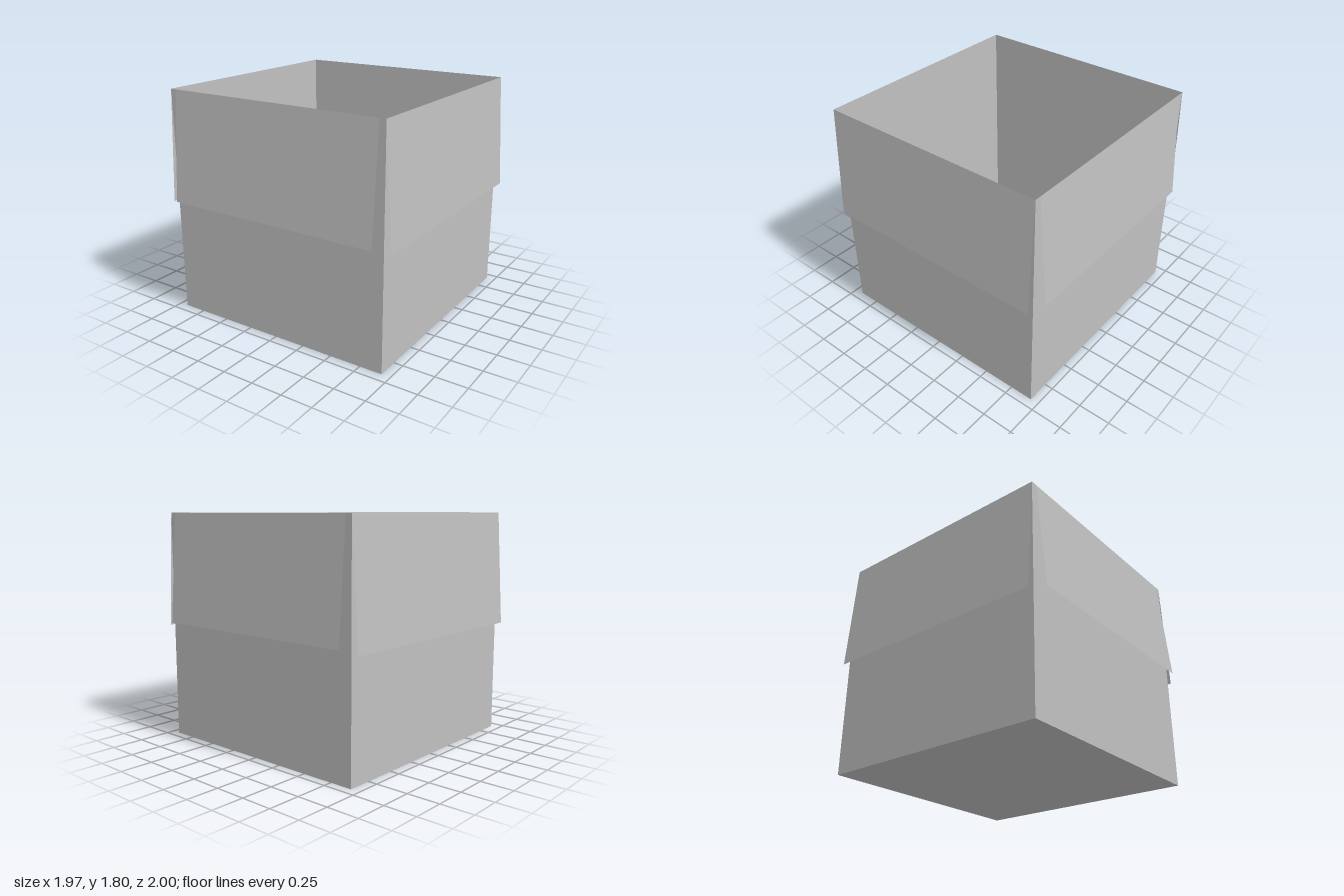
import * as THREE from 'three';

const W = 0.93, FRONT = 0.925, BACK = -0.935, H = 1.8;

// Flat four-cornered sheet, corners counter-clockwise seen from outside
function sheet(name, corners, material) {
  const geometry = new THREE.BufferGeometry();
  geometry.setAttribute('position', new THREE.Float32BufferAttribute(corners.flat(), 3));
  geometry.setIndex([0, 1, 2, 0, 2, 3]);
  geometry.computeVertexNormals();
  const mesh = new THREE.Mesh(geometry, material);
  mesh.name = name;
  return mesh;
}

export function createModel() {
  const box = new THREE.Group();
  box.name = 'openBox';
  const card = new THREE.MeshStandardMaterial({ color: 0xc0c0c0, side: THREE.DoubleSide });
  card.name = 'grey card';
  const add = (name, corners) => box.add(sheet(name, corners, card));

  // Floor
  add('floor', [[-W, 0, BACK], [W, 0, BACK], [W, 0, FRONT], [-W, 0, FRONT]]);

  // Front and back: wall plus a slightly narrower flap folded down outside
  for (const s of [1, -1]) {
    const side = s > 0 ? 'front' : 'back';
    const z = s > 0 ? FRONT : BACK;
    const x = s * W, f = s * 0.88;
    add(side + 'Wall', [[-x, 0, z], [x, 0, z], [x, H, z], [-x, H, z]]);
    add(side + 'Flap', [[-f, 0.935, s], [f, 0.935, s], [f, H, z], [-f, H, z]]);
  }

  // Left and right: wall plus a full-width flap
  for (const s of [1, -1]) {
    const side = s > 0 ? 'left' : 'right';
    const x = s * W, out = s * 0.987;
    const near = s > 0 ? FRONT : BACK, far = s > 0 ? BACK : FRONT;
    add(side + 'Wall', [[x, 0, near], [x, 0, far], [x, H, far], [x, H, near]]);
    add(side + 'Flap', [[out, 0.9, near], [out, 0.9, far], [x, H, far], [x, H, near]]);
  }
  return box;
}
